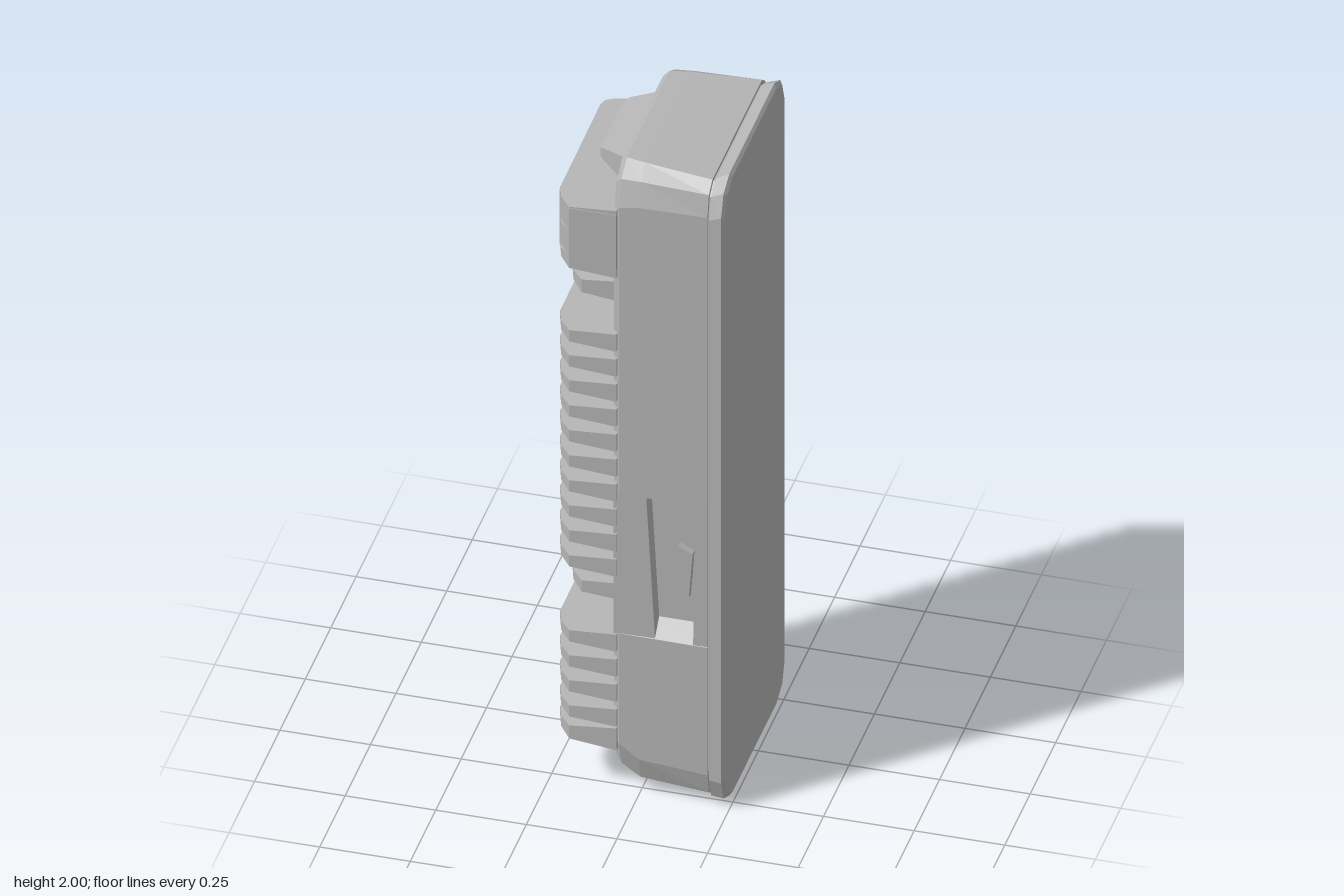
import * as THREE from 'three';

const metal = new THREE.MeshStandardMaterial({ color: 0xb4b4b4 });
metal.name = 'grey metal';

function add(group, geometry, name) {
  const flat = geometry.index ? geometry.toNonIndexed() : geometry;
  flat.computeVertexNormals();
  const mesh = new THREE.Mesh(flat, metal);
  mesh.name = name;
  group.add(mesh);
}

// Solid lofted along x from matching cross-sections of [z, y] points, counter-clockwise
function loft(sections) {
  const pos = [];
  const put = (s, i) => pos.push(s.x, s.pts[i][1], s.pts[i][0]);
  const n = sections[0].pts.length;
  for (let k = 0; k + 1 < sections.length; k++) {
    const a = sections[k], b = sections[k + 1];
    for (let i = 0; i < n; i++) {
      const j = (i + 1) % n;
      put(a, i); put(b, i); put(a, j);
      put(b, i); put(b, j); put(a, j);
    }
  }
  const cap = (s, flip) => {
    const contour = s.pts.map(p => new THREE.Vector2(...p));
    for (const [a, b, c] of THREE.ShapeUtils.triangulateShape(contour, [])) {
      put(s, a); put(s, flip ? c : b); put(s, flip ? b : c);
    }
  };
  cap(sections[0], false);
  cap(sections[sections.length - 1], true);
  const g = new THREE.BufferGeometry();
  g.setAttribute('position', new THREE.Float32BufferAttribute(pos, 3));
  return g;
}

// Rectangle with faceted corners; a notch cuts into the +z side
function outline(z0, z1, y0, y1, cz, cy, notch) {
  const k = 0.3;
  const cut = notch ? [[z1, 0.51], [notch, 0.55], [notch, 0.93], [z1, 0.96]] : [];
  return [
    [z0 + cz, y0], [z1 - cz, y0], [z1 - cz * k, y0 + cy * k], [z1, y0 + cy],
    ...cut,
    [z1, y1 - cy], [z1 - cz * k, y1 - cy * k], [z1 - cz, y1],
    [z0 + cz, y1], [z0 + cz * k, y1 - cy * k], [z0, y1 - cy], [z0, y0 + cy],
    [z0 + cz * k, y0 + cy * k]
  ];
}

const polygon = pts => new THREE.Shape(pts.map(p => new THREE.Vector2(...p)));

// Plate from an [x, z] outline, centred on height y
function plate(pts, thickness, y) {
  const g = new THREE.ExtrudeGeometry(polygon(pts), { depth: thickness, bevelEnabled: false });
  return g.rotateX(Math.PI / 2).translate(0, y + thickness / 2, 0);
}

// Prism from an [x, y] outline, spanning z0 to z1
function prism(pts, z0, z1) {
  const g = new THREE.ExtrudeGeometry(polygon(pts), { depth: z1 - z0, bevelEnabled: false });
  return g.translate(0, 0, z0);
}

// Cooling fin, thick at the body and thin at the tip
function fin(y, front, root, tip) {
  const g = plate([
    [-0.06, -0.262], [-0.215, -0.232], [-0.235, -0.222], [-0.242, -0.2],
    [-0.24, front - 0.09], [-0.225, front - 0.045], [-0.19, front], [-0.06, front]
  ], 1, 0);
  const p = g.attributes.position;
  for (let i = 0; i < p.count; i++) {
    const t = THREE.MathUtils.clamp((-0.07 - p.getX(i)) / 0.17, 0, 1);
    p.setY(i, y + p.getY(i) * THREE.MathUtils.lerp(root, tip, t));
  }
  return g;
}

export function createModel() {
  const model = new THREE.Group();
  model.name = 'finnedHousing';

  // Housing with a grip recess across its front side
  add(model, loft([
    { x: -0.072, pts: outline(-0.285, 0.27, 0.06, 1.975, 0.075, 0.12, 0.235) },
    { x: -0.055, pts: outline(-0.298, 0.285, 0.045, 1.99, 0.08, 0.11, 0.235) },
    { x: 0.0, pts: outline(-0.298, 0.286, 0.015, 1.99, 0.07, 0.1, 0.235) },
    { x: 0.19, pts: outline(-0.3, 0.288, 0.01, 1.985, 0.05, 0.09, 0.235) }
  ]), 'housing');

  // Close the ends of the recess
  add(model, prism([[-0.07, 0.5], [0.045, 0.5], [0.02, 0.97], [-0.07, 0.97]], 0.2, 0.2845), 'recessBackEnd');
  add(model, prism([[0.15, 0.5], [0.19, 0.5], [0.19, 0.97], [0.16, 0.97]], 0.2, 0.2865), 'recessFrontEnd');
  add(model, prism([[0.06, 0.66], [0.13, 0.64], [0.14, 0.78], [0.1, 0.8]], 0.22, 0.255), 'recessLatch');

  // Narrow seam and face panel
  add(model, loft([
    { x: 0.185, pts: outline(-0.29, 0.28, 0.02, 1.975, 0.05, 0.09) },
    { x: 0.205, pts: outline(-0.29, 0.28, 0.02, 1.975, 0.05, 0.09) }
  ]), 'seam');
  add(model, loft([
    { x: 0.198, pts: outline(-0.303, 0.3, 0.004, 1.985, 0.07, 0.09) },
    { x: 0.232, pts: outline(-0.303, 0.303, 0, 2, 0.08, 0.09) },
    { x: 0.24, pts: outline(-0.295, 0.295, 0.01, 1.99, 0.08, 0.09) }
  ]), 'facePanel');

  // Stack of cooling fins, some cut short at the front
  const short = [2, 3, 4, 15, 16];
  for (let i = 0; i < 21; i++) {
    const y = 1.845 - i * 0.0805 + (i > 3 ? 0.005 : 0);
    const cutBack = short.includes(i) && i !== 2;
    add(model, fin(y, cutBack ? 0.17 : 0.292, i === 4 ? 0.07 : 0.055, 0.028), 'coolingFin');
  }
  add(model, fin(0.172, 0.292, 0.07, 0.03), 'lowestFin');

  // Posts tying the end fins together
  for (const [y0, y1] of [[1.55, 1.84], [0.18, 0.42]]) {
    const post = new THREE.BoxGeometry(0.13, y1 - y0, 0.025);
    add(model, post.translate(-0.145, (y0 + y1) / 2, 0.07), 'finPost');
  }

  // Corner bracket at the upper front
  add(model, plate([
    [-0.06, 0.2], [-0.237, 0.2], [-0.239, 0.215], [-0.19, 0.294], [-0.06, 0.294]
  ], 0.175, 1.772), 'cornerBracket');

  // Sloping ledges above and below the fins
  add(model, loft([
    { x: -0.155, pts: [[-0.1, 1.915], [0.11, 1.915], [0.11, 1.94], [-0.1, 1.94]] },
    { x: -0.14, pts: [[-0.125, 1.91], [0.125, 1.91], [0.125, 1.95], [-0.125, 1.95]] },
    { x: -0.06, pts: [[-0.14, 1.89], [0.19, 1.89], [0.19, 1.975], [-0.14, 1.975]] }
  ]), 'upperLedge');
  add(model, loft([
    { x: -0.155, pts: [[-0.12, 0.075], [0.12, 0.075], [0.12, 0.17], [-0.12, 0.17]] },
    { x: -0.06, pts: [[-0.16, 0.065], [0.19, 0.065], [0.19, 0.18], [-0.16, 0.18]] }
  ]), 'lowerLedge');

  return model;
}
